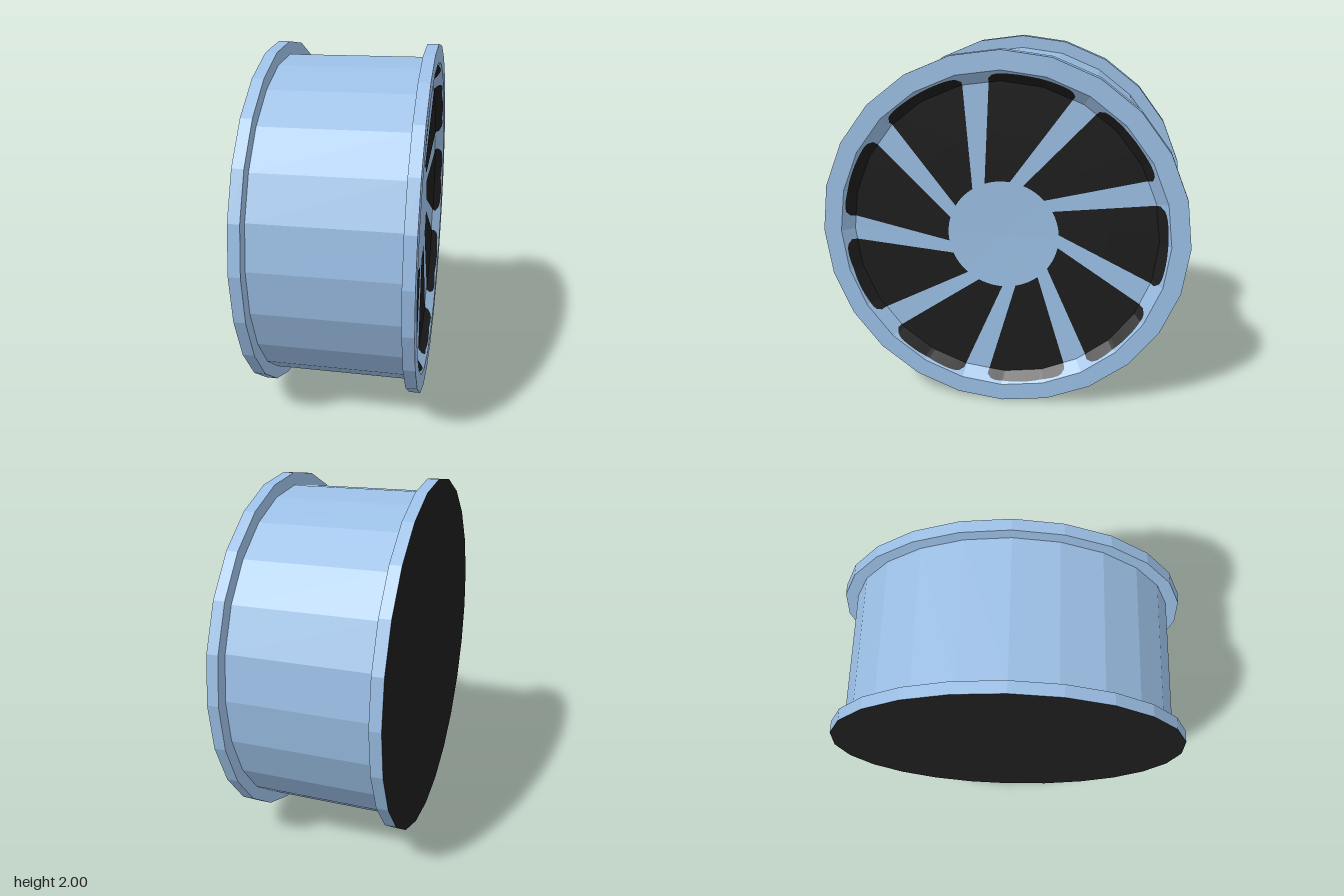
import * as THREE from 'three';

const SIDES = 24, WINDOWS = 9;
const FACE_X = 0.448, FLANGE_X = 0.385;
const LIP = 0.9, RECESS = 0.84, RECESS_X = 0.392, HUB_X = 0.375;
const rad = THREE.MathUtils.degToRad;

// Radius measured to the 24-sided facets rather than to a true circle
function facetRadius(p) {
  const step = (2 * Math.PI) / SIDES;
  const a = Math.atan2(p.y, p.x);
  const within = a - Math.floor(a / step) * step - step / 2;
  return (p.length() * Math.cos(within)) / Math.cos(step / 2);
}

// Height of the dished face along the axle
function faceX(r) {
  return r < RECESS
    ? HUB_X + ((RECESS_X - HUB_X) * r) / RECESS
    : RECESS_X + ((FACE_X - RECESS_X) * (r - RECESS)) / (LIP - RECESS);
}

// Thin dark panel that follows the dished face between two spokes
function windowGeometry(turn) {
  const cols = 20, pos = [], idx = [];
  const polar = (r, deg) => new THREE.Vector2(r * Math.cos(rad(deg)), r * Math.sin(rad(deg)));
  for (let i = 0; i <= cols; i++) {
    const t = i / cols;
    const corner = 0.025 * Math.abs(2 * t - 1) ** 12; // eases the outer corners
    const inner = polar(0.305, THREE.MathUtils.lerp(109, 83, t) - turn);
    const outer = polar(0.882 - corner, THREE.MathUtils.lerp(94.5, 64, t) - turn);
    const r0 = facetRadius(inner), r1 = facetRadius(outer);
    const crease = (RECESS - r0) / (r1 - r0);
    for (const s of [0, crease / 2, crease, 1]) {
      const p = inner.clone().lerp(outer, s);
      pos.push(faceX(facetRadius(p)) + 0.004, p.y, -p.x);
    }
  }
  for (let i = 0; i < cols; i++) {
    for (let j = 0; j < 3; j++) {
      const a = i * 4 + j, b = a + 4;
      idx.push(a, b, a + 1, b, b + 1, a + 1);
    }
  }
  const g = new THREE.BufferGeometry();
  g.setAttribute('position', new THREE.Float32BufferAttribute(pos, 3));
  g.setIndex(idx);
  const flat = g.toNonIndexed();
  flat.computeVertexNormals();
  return flat;
}

export function createModel() {
  const blue = new THREE.MeshStandardMaterial({ color: 0x9abee4 });
  blue.name = 'steelBlue';
  const black = new THREE.MeshStandardMaterial({ color: 0x1c1c1c });
  black.name = 'black';

  const wheel = new THREE.Group();
  wheel.name = 'wheel';
  const add = (name, geometry, material) => {
    const mesh = new THREE.Mesh(geometry, material);
    mesh.name = name;
    wheel.add(mesh);
  };

  // Faceted barrel with two flanges and the dished spoke face
  const profile = [
    [1, -FACE_X], [1, -FLANGE_X], [0.93, -FLANGE_X], [0.93, FLANGE_X],
    [1, FLANGE_X], [1, FACE_X], [LIP, FACE_X], [RECESS, RECESS_X], [0, HUB_X],
  ].map(([r, x]) => new THREE.Vector2(r, x));
  const rim = new THREE.LatheGeometry(profile, SIDES).toNonIndexed();
  rim.computeVertexNormals();
  rim.rotateZ(-Math.PI / 2);
  add('rim', rim, blue);

  // Plain dark disc closing the inner side
  const back = new THREE.CircleGeometry(1, SIDES);
  back.rotateY(-Math.PI / 2);
  back.translate(-FACE_X, 0, 0);
  add('backDisc', back, black);

  // Dark openings; the blue left between them forms the spokes
  for (let i = 0; i < WINDOWS; i++) {
    add('spokeOpening' + (i + 1), windowGeometry((i * 360) / WINDOWS), black);
  }

  wheel.position.y = 1;
  const model = new THREE.Group();
  model.name = 'wheelRim';
  model.add(wheel);
  return model;
}
